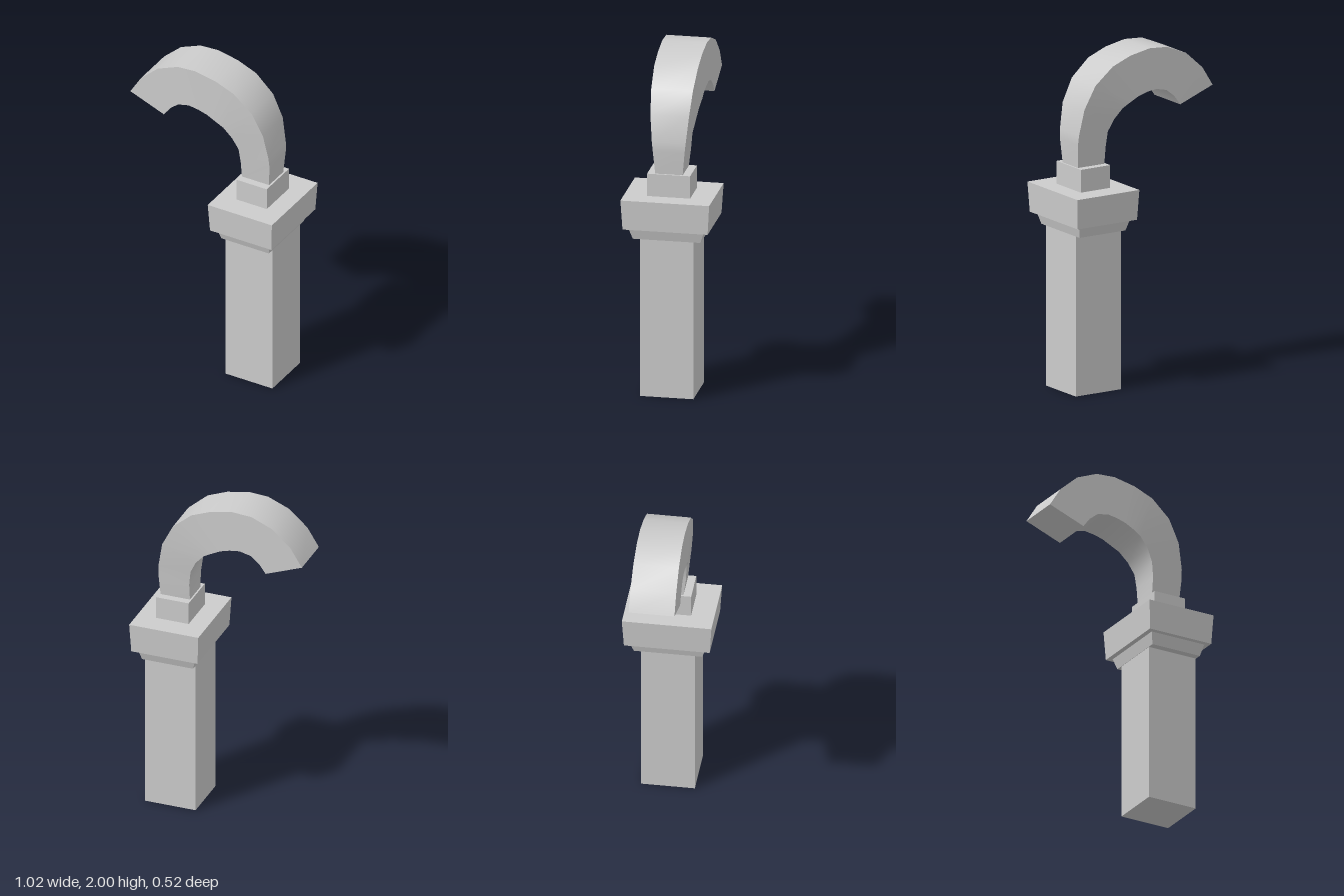
import * as THREE from 'three';

const CX = 0.296; // x of the post axis

// Box whose bottom and top rectangles may differ (half sizes [x, z])
function taperedBlock(name, y0, y1, bottom, top, material) {
  const geo = new THREE.BoxGeometry(2, y1 - y0, 2);
  const p = geo.attributes.position;
  for (let i = 0; i < p.count; i++) {
    const half = p.getY(i) < 0 ? bottom : top;
    p.setX(i, p.getX(i) * half[0]);
    p.setZ(i, p.getZ(i) * half[1]);
  }
  geo.computeVertexNormals();
  const mesh = new THREE.Mesh(geo, material);
  mesh.name = name;
  mesh.position.set(CX, (y0 + y1) / 2, 0);
  return mesh;
}

// Curved hook: stations of [outerX, outerY, innerX, innerY, halfDepth]
const STATIONS = [
  [0.386, 1.33, 0.204, 1.33, 0.08],
  [0.396, 1.48, 0.204, 1.444, 0.094],
  [0.393, 1.535, 0.193, 1.534, 0.1],
  [0.364, 1.69, 0.156, 1.608, 0.114],
  [0.294, 1.825, 0.103, 1.667, 0.123],
  [0.177, 1.926, 0.05, 1.698, 0.129],
  [0.056, 1.974, -0.003, 1.725, 0.13],
  [-0.077, 2.0, -0.061, 1.742, 0.131],
  [-0.198, 1.992, -0.124, 1.751, 0.132],
  [-0.33, 1.937, -0.193, 1.735, 0.133],
  [-0.442, 1.836, -0.246, 1.693, 0.134],
  [-0.513, 1.722, -0.288, 1.636, 0.134],
];

function hookGeometry() {
  const pos = [], idx = [];
  // Corners of each section, going round: outer front, outer back, inner back, inner front
  const rings = STATIONS.map(([ox, oy, ix, iy, d]) =>
    [[ox, oy, d], [ox, oy, -d], [ix, iy, -d], [ix, iy, d]]);
  // Each side is its own strip: smooth along the bend, sharp at the corners
  for (let k = 0; k < 4; k++) {
    const base = pos.length / 3;
    rings.forEach((r, i) => {
      pos.push(...r[k], ...r[(k + 1) % 4]);
      if (i === 0) return;
      const a = base + 2 * (i - 1);
      idx.push(a, a + 1, a + 3, a, a + 3, a + 2);
    });
  }
  // End caps
  [[rings[0], false], [rings[rings.length - 1], true]].forEach(([r, flip]) => {
    const b = pos.length / 3;
    r.forEach((c) => pos.push(...c));
    if (flip) idx.push(b, b + 1, b + 2, b, b + 2, b + 3);
    else idx.push(b, b + 2, b + 1, b, b + 3, b + 2);
  });
  const geo = new THREE.BufferGeometry();
  geo.setAttribute('position', new THREE.Float32BufferAttribute(pos, 3));
  geo.setIndex(idx);
  geo.computeVertexNormals();
  return geo;
}

export function createModel() {
  const group = new THREE.Group();
  group.name = 'hookedPost';
  const material = new THREE.MeshStandardMaterial({ color: 0xcccccc });

  group.add(
    taperedBlock('shaft', 0, 0.957, [0.157, 0.157], [0.157, 0.157], material),
    taperedBlock('moulding', 0.957, 1.025, [0.159, 0.2], [0.177, 0.222], material),
    taperedBlock('capital', 1.025, 1.204, [0.206, 0.251], [0.215, 0.262], material),
    taperedBlock('plinth', 1.204, 1.34, [0.102, 0.127], [0.102, 0.127], material),
  );

  const hook = new THREE.Mesh(hookGeometry(), material);
  hook.name = 'hook';
  group.add(hook);
  return group;
}
